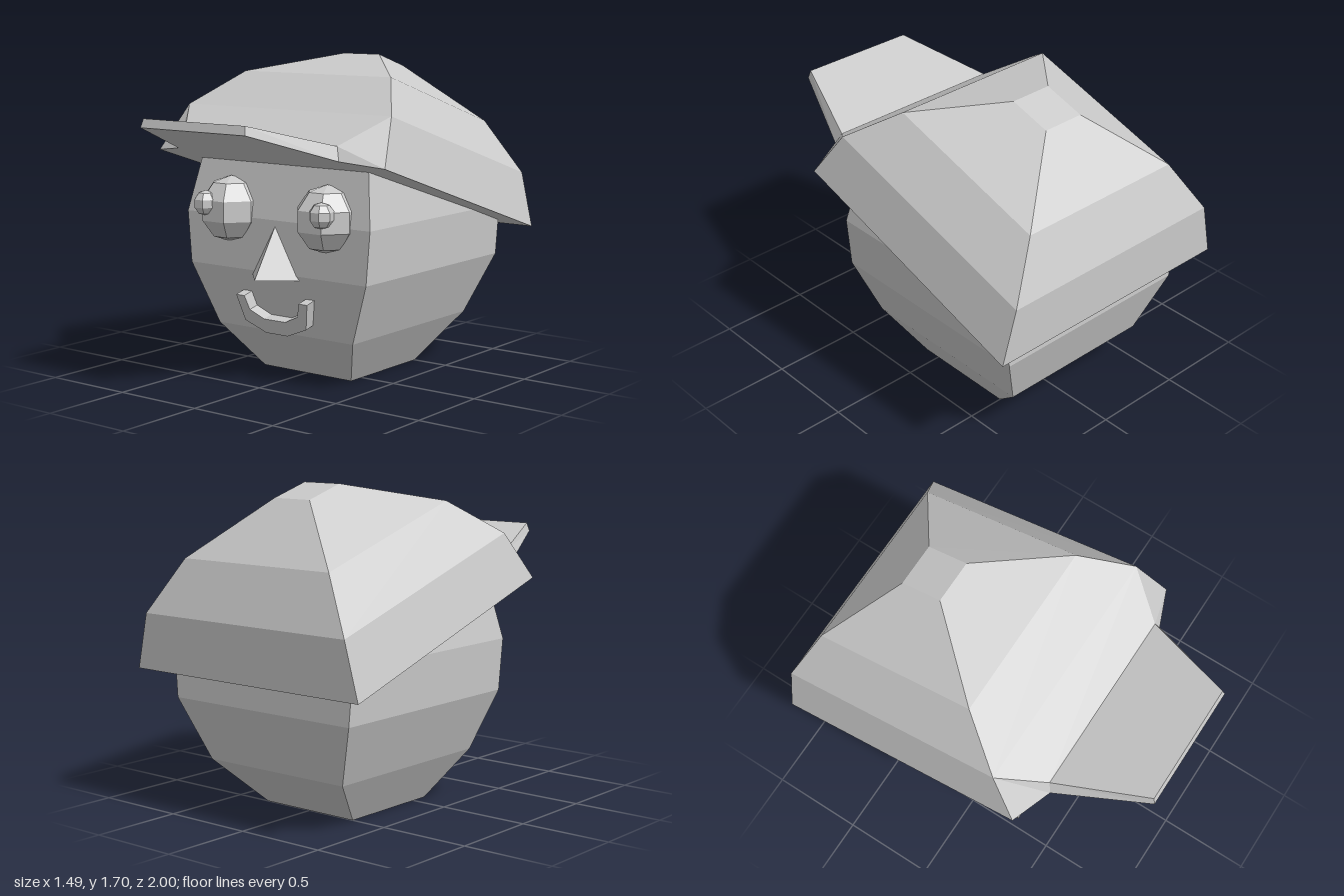
import * as THREE from 'three';
import { ConvexGeometry } from 'three/addons/geometries/ConvexGeometry.js';

const material = new THREE.MeshStandardMaterial({ color: 0xcccccc, flatShading: true });

function addMesh(parent, name, geometry) {
  const mesh = new THREE.Mesh(geometry, material);
  mesh.name = name;
  parent.add(mesh);
  return mesh;
}

// Joins four-cornered rings into a closed, flat-faced solid.
// Corners run anticlockwise as seen from the last ring's end.
function loft(rings) {
  const pos = [];
  const quad = (a, b, c, d) => pos.push(...a, ...b, ...c, ...a, ...c, ...d);
  for (let r = 0; r < rings.length - 1; r++) {
    for (let i = 0; i < 4; i++) {
      const j = (i + 1) % 4;
      quad(rings[r][i], rings[r][j], rings[r + 1][j], rings[r + 1][i]);
    }
  }
  const [a, b, c, d] = rings[0];
  quad(d, c, b, a);
  quad(...rings[rings.length - 1]);
  const geometry = new THREE.BufferGeometry();
  geometry.setAttribute('position', new THREE.Float32BufferAttribute(pos, 3));
  geometry.computeVertexNormals();
  return geometry;
}

// Mirrored ring from two points on the +x side: near (front or lower) and far
const ring = (x1, y1, z1, x2, y2, z2) => [[-x1, y1, z1], [x1, y1, z1], [x2, y2, z2], [-x2, y2, z2]];

export function createModel() {
  const model = new THREE.Group();
  model.name = 'cappedHead';

  // Head: square sections [height, half width, front z, back z]
  const headSections = [
    [0, 0.295, 0.095, -0.5],
    [0.255, 0.45, 0.292, -0.76],
    [0.585, 0.585, 0.365, -0.87],
    [0.865, 0.608, 0.365, -0.865],
    [1.15, 0.555, 0.305, -0.81],
    [1.32, 0.42, 0.17, -0.68],
  ];
  addMesh(model, 'head', loft(headSections.map(([y, x, zf, zb]) => ring(x, y, zf, x, y, zb))));

  // Cap crown, tilted down towards the back
  const capRim = [0.745, 1.193, 0.435];
  const capUpper = [0.67, 1.435, 0.275];
  addMesh(model, 'capCrown', loft([
    ring(...capRim, 0.745, 0.738, -0.99),
    ring(...capUpper, 0.67, 1.035, -1.0),
    ring(0.485, 1.608, 0.02, 0.485, 1.322, -0.895),
    ring(0.118, 1.7, -0.39, 0.118, 1.63, -0.618),
  ]));

  // Visor grows from the front panel of the cap
  addMesh(model, 'capVisor', loft([
    ring(...capRim, ...capUpper),
    ring(0.53, 1.222, 0.52, 0.505, 1.295, 0.5),
    ring(0.34, 1.375, 1.0, 0.33, 1.42, 0.987),
  ]));

  // Eyes and pupils: seven-sided balls with a flat side facing forward
  const ball = (radius) => new THREE.SphereGeometry(radius, 7, 5).rotateY(Math.PI / 2 + Math.PI / 7);
  for (const [side, s] of [['left', 1], ['right', -1]]) {
    const eye = new THREE.Group();
    eye.name = side + 'Eye';
    addMesh(eye, side + 'Eyeball', ball(0.178)).position.set(s * 0.321, 0.897, 0.335);
    addMesh(eye, side + 'Pupil', ball(0.068)).position.set(s * 0.385, 0.936, 0.47);
    model.add(eye);
  }

  // Nose: a wedge with its tip low and forward
  addMesh(model, 'nose', new ConvexGeometry([
    new THREE.Vector3(0, 0.833, 0.365),
    new THREE.Vector3(-0.16, 0.562, 0.358),
    new THREE.Vector3(0.16, 0.562, 0.358),
    new THREE.Vector3(0, 0.572, 0.533),
  ]));

  // Mouth: a smiling band, tilted to follow the chin
  const outer = [[0.238, 0.2], [0.205, 0.056], [0.072, 0]];
  const inner = [[0.07, 0.08], [0.16, 0.122], [0.182, 0.2]];
  const half = [...outer, ...inner];
  const mirror = ([x, y]) => [-x, y];
  const outline = [
    ...outer, ...outer.map(mirror).reverse(),
    ...inner.map(mirror).reverse(), ...half.slice(3),
  ].map(([x, y]) => new THREE.Vector2(x, y));
  const mouthShape = new THREE.Shape(outline);
  const mouthGeometry = new THREE.ExtrudeGeometry(mouthShape, { depth: 0.075, bevelEnabled: false });
  const mouth = addMesh(model, 'mouth', mouthGeometry.translate(0, 0, -0.075));
  mouth.position.set(0, 0.257, 0.352);
  mouth.rotation.x = 0.244;

  return model;
}
